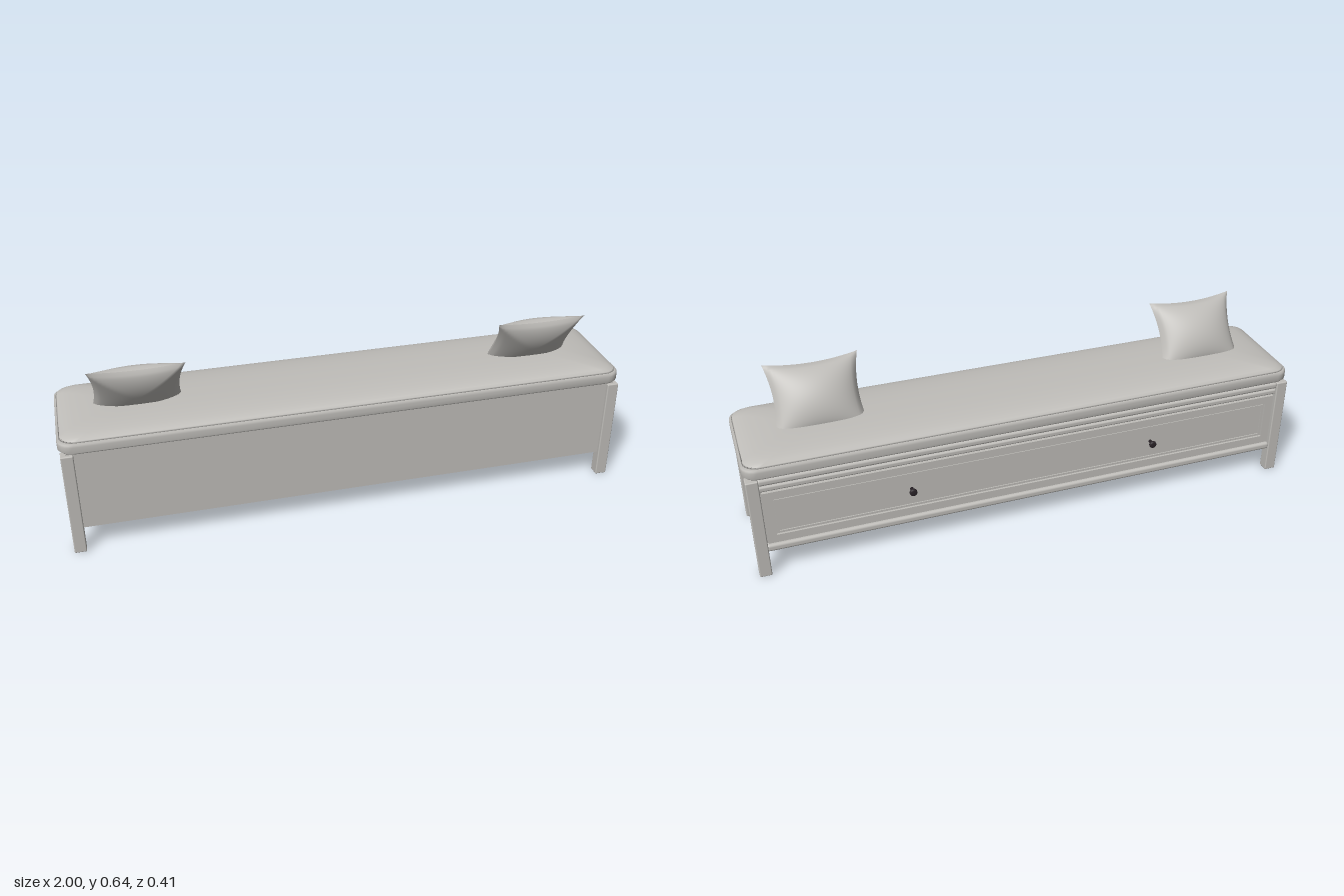
import * as THREE from 'three';
import { mergeGeometries } from 'three/addons/utils/BufferGeometryUtils.js';
import { RoundedBoxGeometry } from 'three/addons/geometries/RoundedBoxGeometry.js';

const paint = new THREE.MeshStandardMaterial({ name: 'warm grey', color: 0xc0beba });
const dark = new THREE.MeshStandardMaterial({ name: 'dark knob', color: 0x2a2328 });

const ZC = 0.008; // centre of the bench in depth

function add(parent, name, geometry, material, x = 0, y = 0, z = 0) {
  const mesh = new THREE.Mesh(geometry, material);
  mesh.name = name;
  mesh.position.set(x, y, z);
  parent.add(mesh);
  return mesh;
}

// Box given by its limits on each axis, optionally with rounded edges
function block(parent, name, [x0, x1], [y0, y1], [z0, z1], r = 0) {
  const size = [x1 - x0, y1 - y0, z1 - z0];
  const geo = r ? new RoundedBoxGeometry(...size, 3, r) : new THREE.BoxGeometry(...size);
  return add(parent, name, geo, paint, (x0 + x1) / 2, (y0 + y1) / 2, (z0 + z1) / 2);
}

// Stack of rounded rectangles [y, inset in x, inset in z], closed at both ends
function loftedSlab(halfX, halfZ, radius, rings) {
  const seg = 6, n = 4 * (seg + 1), pos = [], idx = [];
  for (const [y, ix, iz] of rings) {
    const a = halfX - ix, b = halfZ - iz, r = Math.min(radius, b);
    for (let c = 0; c < 4; c++) {
      const sx = c === 0 || c === 3 ? 1 : -1, sz = c < 2 ? 1 : -1;
      for (let k = 0; k <= seg; k++) {
        const t = (c + k / seg) * Math.PI / 2;
        pos.push(sx * (a - r) + r * Math.cos(t), y, sz * (b - r) + r * Math.sin(t));
      }
    }
  }
  for (let i = 0; i < rings.length - 1; i++) {
    for (let j = 0; j < n; j++) {
      const p = i * n + j, q = i * n + (j + 1) % n;
      idx.push(p, p + n, q, q, p + n, q + n);
    }
  }
  const last = (rings.length - 1) * n, low = pos.length / 3;
  pos.push(0, rings[0][0], 0, 0, rings.at(-1)[0], 0);
  for (let j = 0; j < n; j++) {
    const k = (j + 1) % n;
    idx.push(low, j, k, low + 1, last + k, last + j);
  }
  const geo = new THREE.BufferGeometry();
  geo.setAttribute('position', new THREE.Float32BufferAttribute(pos, 3));
  geo.setIndex(idx);
  geo.computeVertexNormals();
  return geo;
}

// Pillow: ridged front face and smooth, fuller back face meeting at a pinched seam
function pillowGeometry() {
  const W = 0.162, H = 0.132;
  const faces = [1, -1].map((side) => {
    const geo = new THREE.PlaneGeometry(2, 2, 28, 28);
    if (side < 0) geo.rotateY(Math.PI);
    const p = geo.attributes.position;
    for (let i = 0; i < p.count; i++) {
      const u = p.getX(i), v = p.getY(i);
      const m = Math.min(1, Math.max(Math.abs(u), Math.abs(v)));
      const full = Math.max(0, (1 - u * u) * (1 - v * v));
      const depth = side > 0
        ? 0.045 * (0.6 * Math.pow(1 - m ** 2.2, 0.8) + 0.4 * Math.sqrt(full))
        : -0.06 * Math.pow(full, 0.6);
      p.setXYZ(i, W * u * (1 - 0.12 * (1 - v * v)), H * v * (1 - 0.12 * (1 - u * u)), depth);
    }
    geo.computeVertexNormals();
    return geo;
  });
  return mergeGeometries(faces);
}

// Flat rectangular ring facing the drawer side
function frameGeometry(w, h, border, depth) {
  const rect = (T, a, b) => new T([[-a, -b], [a, -b], [a, b], [-a, b]].map((q) => new THREE.Vector2(...q)));
  const shape = rect(THREE.Shape, w / 2, h / 2);
  shape.holes.push(rect(THREE.Path, w / 2 - border, h / 2 - border));
  return new THREE.ExtrudeGeometry(shape, { depth, bevelEnabled: false });
}

export function createModel() {
  const bench = new THREE.Group();
  bench.name = 'storageBench';

  // Carcass and legs
  block(bench, 'carcass', [-0.975, 0.975], [0.094, 0.392], [-0.168, 0.195]);
  for (const s of [-1, 1]) {
    const x = s < 0 ? [-0.992, -0.95] : [0.95, 0.992];
    block(bench, 'frontLeg', x, [0, 0.388], [0.167, 0.207], 0.004);
    block(bench, 'backLeg', x, [0, 0.388], [-0.191, -0.151], 0.004);
  }

  // Rails above and below the drawer
  block(bench, 'topRail', [-0.955, 0.955], [0.362, 0.388], [-0.186, -0.16], 0.01);
  block(bench, 'middleRail', [-0.955, 0.955], [0.337, 0.358], [-0.182, -0.16], 0.007);
  block(bench, 'bottomRail', [-0.955, 0.955], [0.094, 0.122], [-0.186, -0.16], 0.01);

  // Drawer front with a raised border and a moulding around the panel
  const drawer = new THREE.Group();
  drawer.name = 'drawer';
  bench.add(drawer);
  block(drawer, 'drawerPanel', [-0.945, 0.945], [0.128, 0.332], [-0.174, -0.16]);
  add(drawer, 'drawerBorder', frameGeometry(1.89, 0.204, 0.03, 0.01), paint, 0, 0.23, -0.182);
  add(drawer, 'panelMoulding', frameGeometry(1.82, 0.134, 0.006, 0.006), paint, 0, 0.23, -0.178);

  // Knobs turned about the depth axis
  const profile = [[0, 0], [0.006, 0], [0.006, 0.018], [0.012, 0.02], [0.0135, 0.024], [0.0125, 0.03], [0.009, 0.032], [0, 0.032]];
  const knob = new THREE.LatheGeometry(profile.map((q) => new THREE.Vector2(...q)), 20).rotateX(-Math.PI / 2);
  for (const x of [-0.45, 0.447]) add(drawer, 'knob', knob, dark, x, 0.232, -0.173);

  // Seat cushion: rounded side band and domed top
  add(bench, 'cushionBand', loftedSlab(0.998, 0.199, 0.05, [
    [0.391, 0.01, 0.01], [0.393, 0.004, 0.004], [0.399, 0, 0], [0.42, 0, 0], [0.428, 0.001, 0.001], [0.433, 0.006, 0.005],
  ]), paint, 0, 0, ZC);
  add(bench, 'cushionTop', loftedSlab(0.998, 0.199, 0.05, [
    [0.431, 0.006, 0.005], [0.438, 0.012, 0.008], [0.446, 0.03, 0.018], [0.452, 0.055, 0.034],
    [0.457, 0.09, 0.06], [0.461, 0.13, 0.095], [0.463, 0.17, 0.13], [0.464, 0.22, 0.165],
  ]), paint, 0, 0, ZC);

  // Leaning pillows
  const pillow = pillowGeometry();
  for (const x of [-0.717, 0.705]) {
    add(bench, 'pillow', pillow, paint, x, 0.527, 0.0456).rotation.x = 0.583;
  }
  return bench;
}
